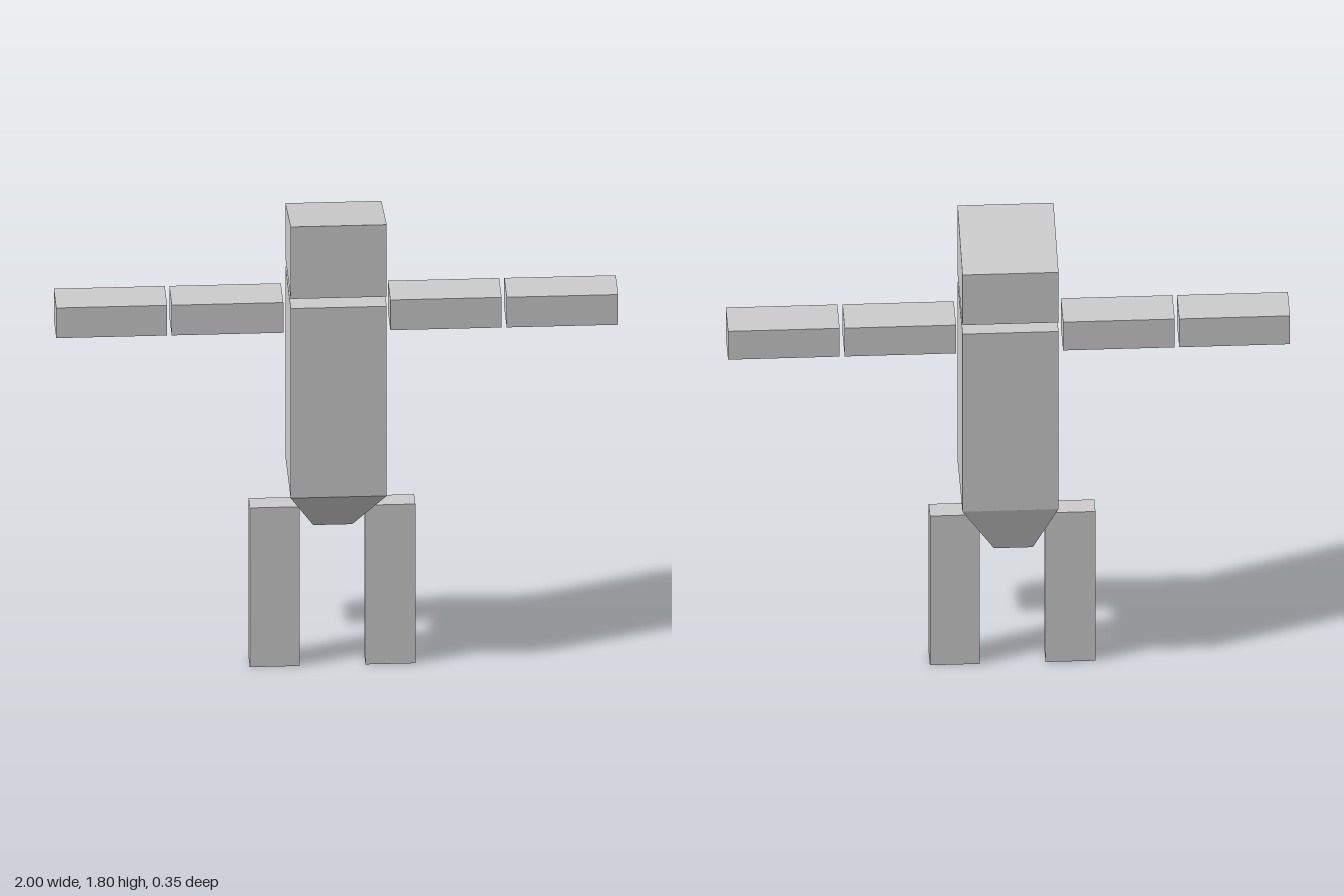
import * as THREE from 'three';

export function createModel() {
  const model = new THREE.Group();
  const grey = new THREE.MeshStandardMaterial({ color: 0xcccccc });
  grey.name = 'lightGrey';

  // Box given by its limits on each axis; reshape may move its corners.
  function block(name, [x0, x1], [y0, y1], [z0, z1], reshape) {
    const geo = new THREE.BoxGeometry(x1 - x0, y1 - y0, z1 - z0);
    geo.translate((x0 + x1) / 2, (y0 + y1) / 2, (z0 + z1) / 2);
    if (reshape) {
      const pos = geo.attributes.position;
      const p = new THREE.Vector3();
      for (let i = 0; i < pos.count; i++) {
        p.fromBufferAttribute(pos, i);
        reshape(p);
        pos.setXYZ(i, p.x, p.y, p.z);
      }
      geo.computeVertexNormals();
    }
    const mesh = new THREE.Mesh(geo, grey);
    mesh.name = name;
    model.add(mesh);
  }

  const bodyX = [-0.171, 0.171];
  const bodyZ = [-0.173, 0.173];

  // Head: top slopes down towards the back
  block('head', bodyX, [1.513, 1.797], bodyZ, (p) => {
    if (p.y > 1.7 && p.z < 0) p.y = 1.724;
  });

  block('torso', bodyX, [0.727, 1.475], bodyZ);

  // Pelvis: tapers to a small base set towards the back
  block('pelvis', bodyX, [0.54, 0.727], bodyZ, (p) => {
    if (p.y > 0.6) return;
    p.x = p.x < 0 ? -0.082 : 0.057;
    p.z = p.z < 0 ? -0.126 : 0.01;
  });

  // Arms
  const armY = [1.335, 1.454];
  const armZ = [-0.079, 0.079];
  block('leftUpperArm', [0.189, 0.585], armY, armZ);
  block('leftForearm', [0.603, 1], armY, armZ);
  block('rightUpperArm', [-0.589, -0.192], armY, armZ);
  block('rightForearm', [-1, -0.605], armY, armZ);

  // Legs
  const legY = [0, 0.628];
  const legZ = [-0.04, 0.04];
  block('leftLeg', [0.103, 0.28], legY, legZ);
  block('rightLeg', [-0.309, -0.132], legY, legZ);

  return model;
}
